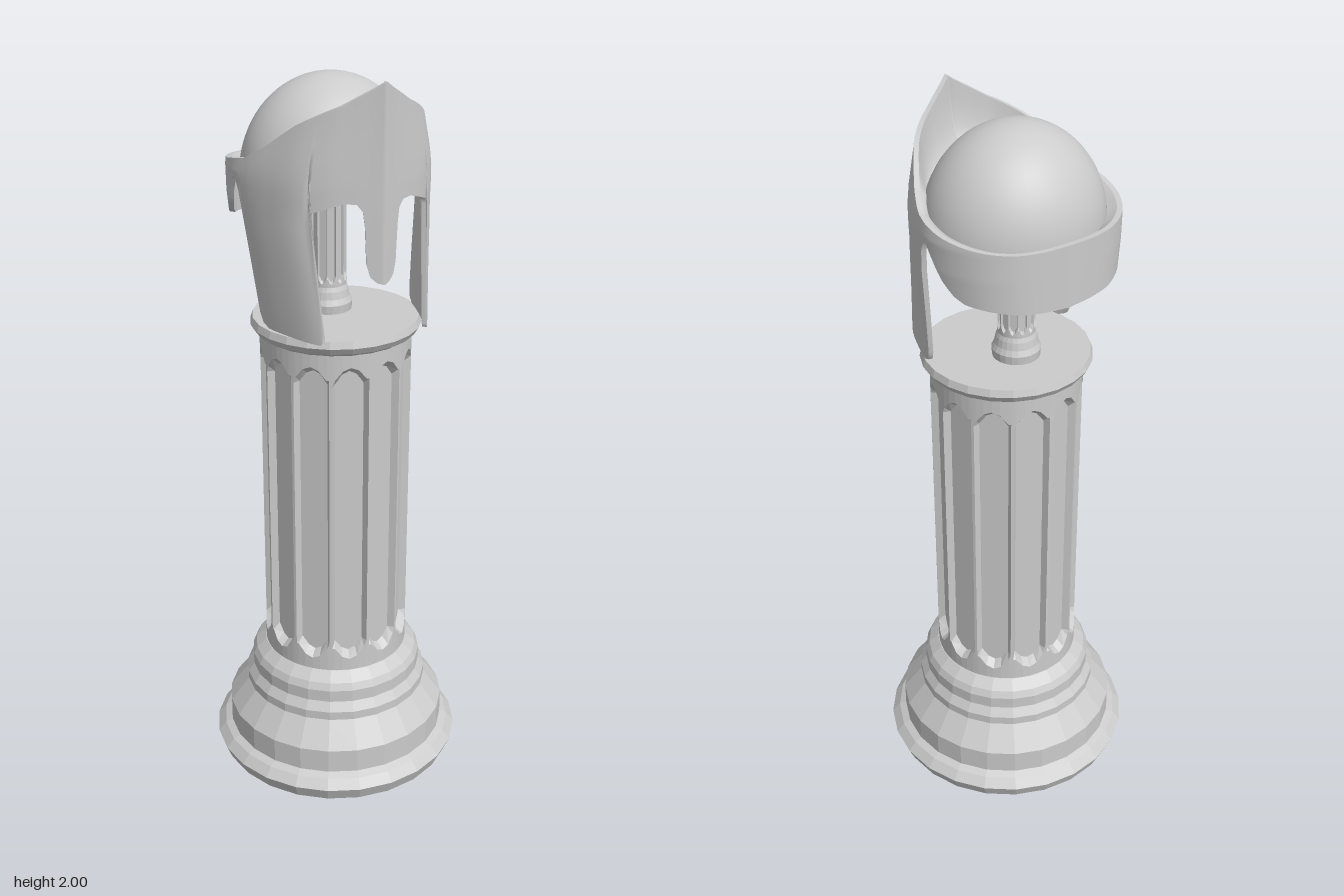
import * as THREE from 'three';

const flat = new THREE.MeshStandardMaterial({ color: 0xcccccc, flatShading: true });
const smooth = new THREE.MeshStandardMaterial({ color: 0xcccccc, side: THREE.DoubleSide });

function add(group, name, geometry, material) {
  const mesh = new THREE.Mesh(geometry, material);
  mesh.name = name;
  group.add(mesh);
  return mesh;
}

// Closed ring of columns (i) with rows (j); fn returns [x, y, z]
function ringGrid(columns, rows, fn) {
  const pos = [], index = [];
  for (let i = 0; i < columns; i++) {
    for (let j = 0; j < rows; j++) pos.push(...fn(i, j));
    const n = (i + 1) % columns;
    for (let j = 0; j < rows - 1; j++) {
      const a = i * rows + j, b = n * rows + j;
      index.push(a, b, b + 1, a, b + 1, a + 1);
    }
  }
  const g = new THREE.BufferGeometry();
  g.setAttribute('position', new THREE.Float32BufferAttribute(pos, 3));
  g.setIndex(index);
  g.computeVertexNormals();
  return g;
}

// Linear lookup in a table of [key, value]
function lookup(table, k) {
  if (k <= table[0][0]) return table[0][1];
  for (let i = 1; i < table.length; i++) {
    const [k0, v0] = table[i - 1], [k1, v1] = table[i];
    if (k <= k1) return v0 + (v1 - v0) * (k - k0) / (k1 - k0);
  }
  return table[table.length - 1][1];
}

function turned(profile, segments) {
  return new THREE.LatheGeometry(profile.map(([r, y]) => new THREE.Vector2(r, y)), segments);
}

// Fluted shaft: thin ridges between broad flat flutes with arched ends
function flutedShaft(R, y0, y1, flutes, depth, end) {
  const step = 360 / flutes;
  const rel = [-0.035, 0.035, 0.1, 0.3, 0.5, 0.7, 0.9];
  return ringGrid(flutes * rel.length, 6, (i, j) => {
    const f = rel[i % rel.length];
    const a = THREE.MathUtils.degToRad((Math.floor(i / rel.length) + f) * step);
    const inFlute = f > 0.05;
    const arch = inFlute ? 1 - Math.pow((f - 0.5) / 0.4, 2) : 0;
    const fromEnd = [0, end * (1 - 0.5 * arch), end * (1.25 - 0.5 * arch)][j < 3 ? j : 5 - j];
    const chord = Math.cos(THREE.MathUtils.degToRad(0.4 * step)) /
      Math.cos(THREE.MathUtils.degToRad((f - 0.5) * step));
    const r = inFlute && (j === 2 || j === 3) ? (R - depth) * chord : R;
    return [Math.sin(a) * r, j < 3 ? y0 + fromEnd : y1 - fromEnd, Math.cos(a) * r];
  });
}

function createPedestal() {
  const g = new THREE.Group();
  g.name = 'pedestal';
  add(g, 'pedestalBase', turned([
    [0, 0], [0.34, 0], [0.357, 0.04], [0.335, 0.065], [0.315, 0.075], [0.315, 0.145],
    [0.262, 0.215], [0.262, 0.24], [0.245, 0.265], [0.245, 0.3], [0.235, 0.32],
    [0.207, 0.345], [0, 0.345]], 24), flat);
  add(g, 'pedestalShaft', flutedShaft(0.204, 0.345, 1.302, 12, 0.02, 0.07), flat);
  add(g, 'pedestalCapital', turned([
    [0, 1.295], [0.203, 1.3], [0.218, 1.31], [0.229, 1.328], [0.223, 1.347], [0, 1.347]], 24), flat);
  return g;
}

function createStand() {
  const g = new THREE.Group();
  g.name = 'helmetStand';
  add(g, 'standFoot', turned([
    [0, 1.345], [0.063, 1.345], [0.065, 1.37], [0.058, 1.385], [0.054, 1.405], [0.048, 1.42], [0, 1.42]], 24), flat);
  add(g, 'standShaft', flutedShaft(0.049, 1.41, 1.93, 12, 0.006, 0.03), flat);
  g.position.z = -0.045;
  return g;
}

function createHelmet() {
  const g = new THREE.Group();
  g.name = 'helmet';

  // Half outline in plan (x, z), from the pointed front round to the back
  const plan = new THREE.CatmullRomCurve3([
    [0, 0.272], [0.03, 0.258], [0.08, 0.235], [0.135, 0.205], [0.19, 0.155], [0.235, 0.07], [0.258, 0],
    [0.265, -0.06], [0.25, -0.13], [0.21, -0.195], [0.15, -0.24], [0.08, -0.26], [0, -0.265],
  ].map(([x, z]) => new THREE.Vector3(x, 0, z)));
  const LEN = 0.832;

  // Lower edge (distance round outline, y): nose guard, eye, cheek, ear arch, neck
  const lower = [
    [0, 1.505], [0.02, 1.51], [0.038, 1.525], [0.047, 1.555], [0.05, 1.65], [0.055, 1.69], [0.07, 1.708],
    [0.1, 1.71], [0.14, 1.698], [0.18, 1.685], [0.188, 1.67], [0.194, 1.365], [0.204, 1.354],
    [0.37, 1.354], [0.39, 1.365], [0.398, 1.39], [0.402, 1.5], [0.407, 1.65], [0.416, 1.705],
    [0.43, 1.735], [0.445, 1.735], [0.47, 1.7], [0.5, 1.655], [0.53, 1.625], [0.56, 1.61],
    [0.7, 1.59], [LEN, 1.58]];
  // Upper rim height by depth z
  const rim = [[-0.265, 1.745], [-0.1, 1.77], [0, 1.79], [0.06, 1.825], [0.14, 1.89],
    [0.18, 1.915], [0.22, 1.942], [0.25, 1.975], [0.272, 2]];
  // Width factor by height
  const width = [[1.35, 0.86], [1.5, 0.92], [1.6, 0.965], [1.68, 0.995], [1.75, 1], [1.8, 0.97], [1.9, 0.87], [2, 0.78]];
  // Forward sweep of the cheek plates along the outline
  const sweep = [[0.1, 0], [0.185, 0.055], [0.4, 0.025], [0.45, 0]];

  const half = [];
  lower.forEach(([s, y], i) => {
    if (i === 0) return half.push([s, y]);
    const [s0, y0] = lower[i - 1], n = Math.ceil((s - s0) / 0.01);
    for (let k = 1; k <= n; k++) half.push([s0 + (s - s0) * k / n, y0 + (y - y0) * k / n]);
  });
  const columns = [...half.slice(1).reverse().map((p) => [p, -1]), ...half.slice(0, -1).map((p) => [p, 1])]
    .map(([[s, bottom], side]) => {
      const u = s / LEN, p = plan.getPointAt(u), t = plan.getTangentAt(u);
      if (s === 0 || s === LEN) t.set(s === 0 ? 1 : -1, 0, 0);
      return { s, side, bottom, top: lookup(rim, p.z), p, t };
    });

  const T = 0.014;
  const shell = (c, y, inset) => {
    const x = (c.p.x + c.t.z * inset) * lookup(width, y);
    const drop = Math.max(0, Math.min(1, (1.67 - y) / 0.31));
    return [c.side * x, y, c.p.z - c.t.x * inset + lookup(sweep, c.s) * drop];
  };
  const N = columns.length, ROWS = 18;
  const level = (c, j) => c.bottom + (c.top - c.bottom) * j / (ROWS - 1);

  add(g, 'helmetOuterShell', ringGrid(N, ROWS, (i, j) => shell(columns[i], level(columns[i], j), 0)), smooth);
  add(g, 'helmetInnerShell', ringGrid(N, ROWS, (i, j) =>
    shell(columns[i], level(columns[i], ROWS - 1 - j), T)), smooth);
  add(g, 'helmetLowerEdge', ringGrid(N, 2, (i, j) => shell(columns[i], columns[i].bottom, j ? 0 : T)), smooth);
  add(g, 'helmetRim', ringGrid(N, 2, (i, j) => shell(columns[i], columns[i].top, j ? T : 0)), smooth);

  // Skull dome
  const C = { y: 1.72, z: -0.035 }, RX = 0.235, RY = 0.255, RZ = 0.215;
  const dome = add(g, 'skullDome', new THREE.SphereGeometry(1, 48, 20, 0, Math.PI * 2, 0, Math.PI / 2), smooth);
  dome.scale.set(RX, RY, RZ);
  dome.position.set(0, C.y, C.z);

  // Hollow sweep joining the raised brow to the dome
  add(g, 'browHollow', ringGrid(N, 9, (i, j) => {
    const c = columns[i], [x, y, z] = shell(c, c.top, T);
    const endY = Math.min(1.81, c.top - 0.012), dz = z - C.z;
    const k = Math.sqrt(1 - ((endY - C.y) / RY) ** 2) / Math.hypot(x / RX, dz / RZ);
    const end = [x * k, endY, C.z + dz * k];
    const control = [x * 0.95, endY + 0.005, C.z + dz * 0.95], v = j / 8;
    return [x, y, z].map((a, n) => a * (1 - v) ** 2 + 2 * control[n] * v * (1 - v) + end[n] * v * v);
  }), smooth);
  return g;
}

export function createModel() {
  const model = new THREE.Group();
  model.name = 'helmetOnPedestal';
  model.add(createPedestal(), createStand(), createHelmet());
  return model;
}
